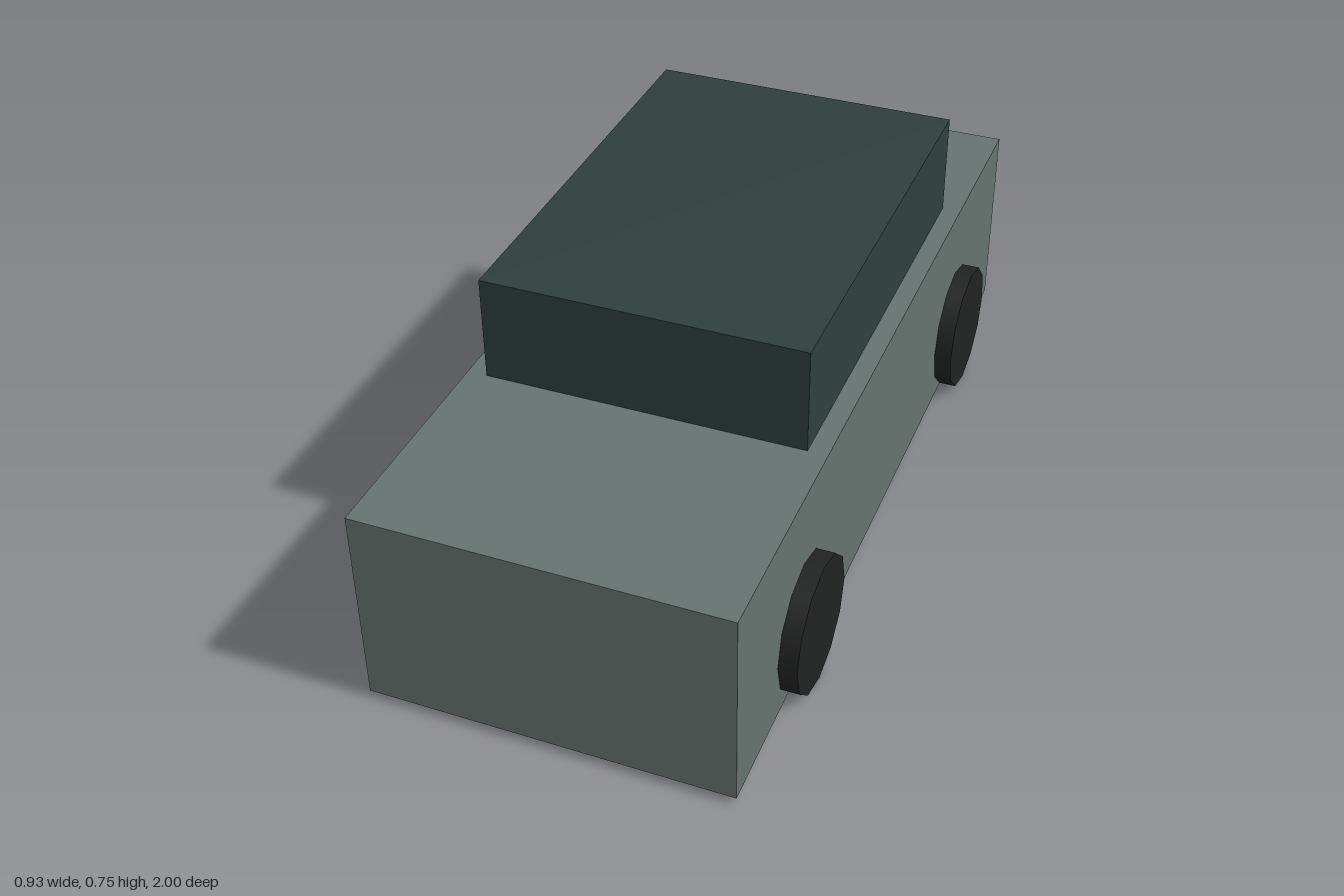
import * as THREE from 'three';

const bodyPaint = new THREE.MeshStandardMaterial({ color: 0x66736f });
const cabinPaint = new THREE.MeshStandardMaterial({ color: 0x2f3f3d });
const rubber = new THREE.MeshStandardMaterial({ color: 0x202322 });

// Box given by its size, the height of its base and its z centre
function box(name, width, height, depth, base, z, material) {
  const mesh = new THREE.Mesh(new THREE.BoxGeometry(width, height, depth), material);
  mesh.name = name;
  mesh.position.set(0, base + height / 2, z);
  return mesh;
}

export function createModel() {
  const car = new THREE.Group();
  car.name = 'car';

  // Body and cabin
  car.add(box('body', 0.844, 0.485, 2, 0.018, 0, bodyPaint));
  car.add(box('cabin', 0.752, 0.252, 1.06, 0.503, -0.07, cabinPaint));

  // Four twelve-sided wheels, partly sunk into the body
  const radius = 0.159;
  const wheelGeometry = new THREE.CylinderGeometry(radius, radius, 0.074, 12);
  wheelGeometry.rotateZ(Math.PI / 2);
  for (const [end, z] of [['front', 0.6], ['back', -0.6]]) {
    for (const [side, x] of [['Left', 0.428], ['Right', -0.428]]) {
      const wheel = new THREE.Mesh(wheelGeometry, rubber);
      wheel.name = `${end}${side}Wheel`;
      wheel.position.set(x, radius, z);
      car.add(wheel);
    }
  }
  return car;
}
